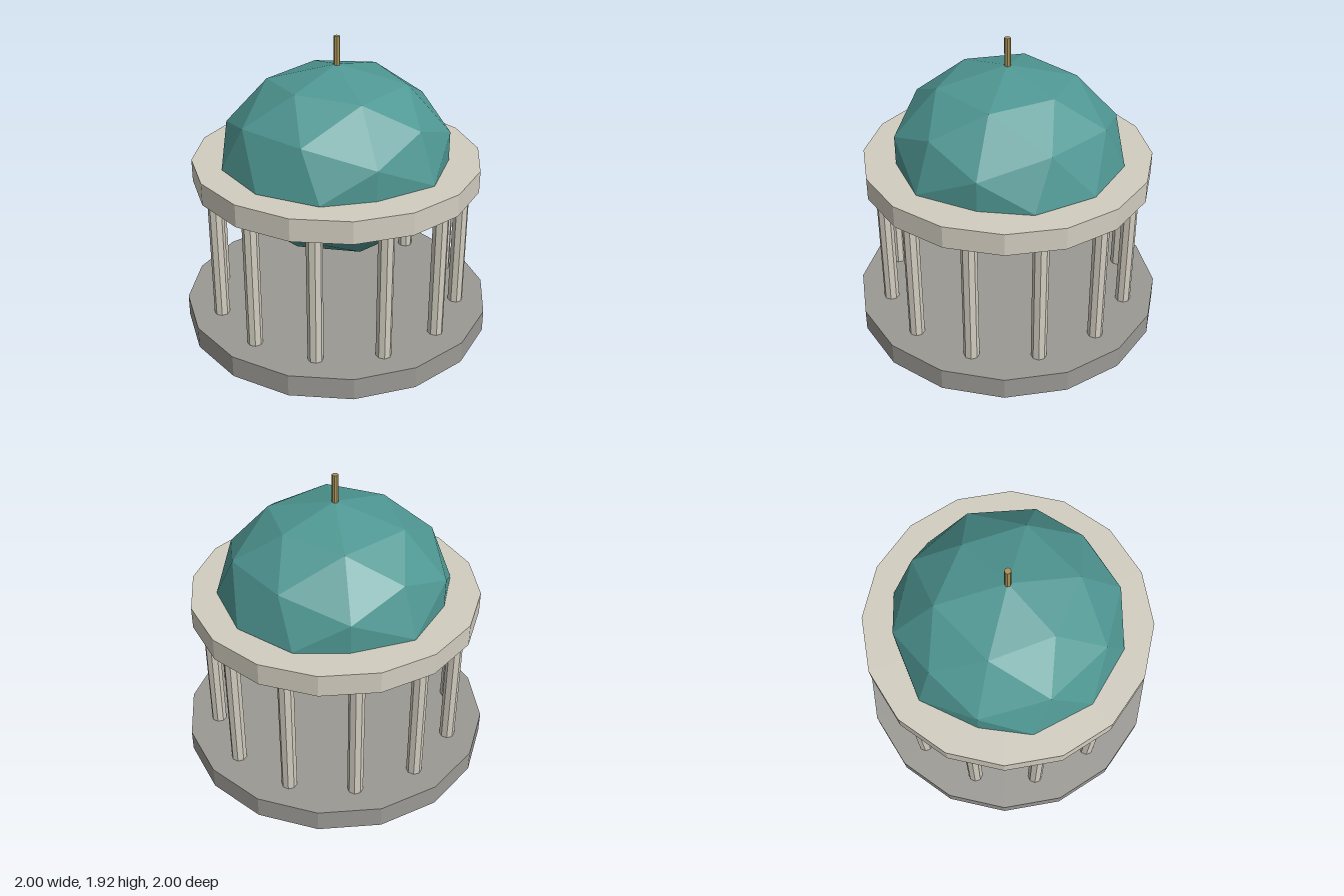
import * as THREE from 'three';

const material = (color) => new THREE.MeshStandardMaterial({ color, flatShading: true });

export function createModel() {
  const pavilion = new THREE.Group();
  pavilion.name = 'domedPavilion';

  const stone = material(0x9b9994);
  const marble = material(0xd2cdc0);
  const copper = material(0x4f9793);
  const brass = material(0xa8925a);

  function add(name, geometry, mat, x, y, z) {
    const mesh = new THREE.Mesh(geometry, mat);
    mesh.name = name;
    mesh.position.set(x, y, z);
    pavilion.add(mesh);
    return mesh;
  }

  // Upright cylinder between two heights
  function drum(name, radius, bottom, top, sides, mat, x = 0, z = 0) {
    const geometry = new THREE.CylinderGeometry(radius, radius, top - bottom, sides);
    return add(name, geometry, mat, x, (bottom + top) / 2, z);
  }

  // Sixteen-sided floor and entablature
  drum('base', 1, 0, 0.143, 16, stone);
  drum('entablature', 0.914, 1.0, 1.143, 16, marble);

  // Ring of twelve columns
  const columnCount = 12;
  for (let i = 0; i < columnCount; i++) {
    const a = (i / columnCount) * Math.PI * 2;
    drum('column', 0.049, 0.143, 1.0, 8, marble, Math.cos(a) * 0.8, Math.sin(a) * 0.8);
  }

  // Faceted, slightly flattened dome that hangs below the entablature
  const dome = add('dome', new THREE.IcosahedronGeometry(0.743, 1), copper, 0, 1.147, 0);
  dome.scale.y = 0.8;

  // Finial
  drum('finial', 0.02, 1.69, 1.916, 8, brass);

  return pavilion;
}
